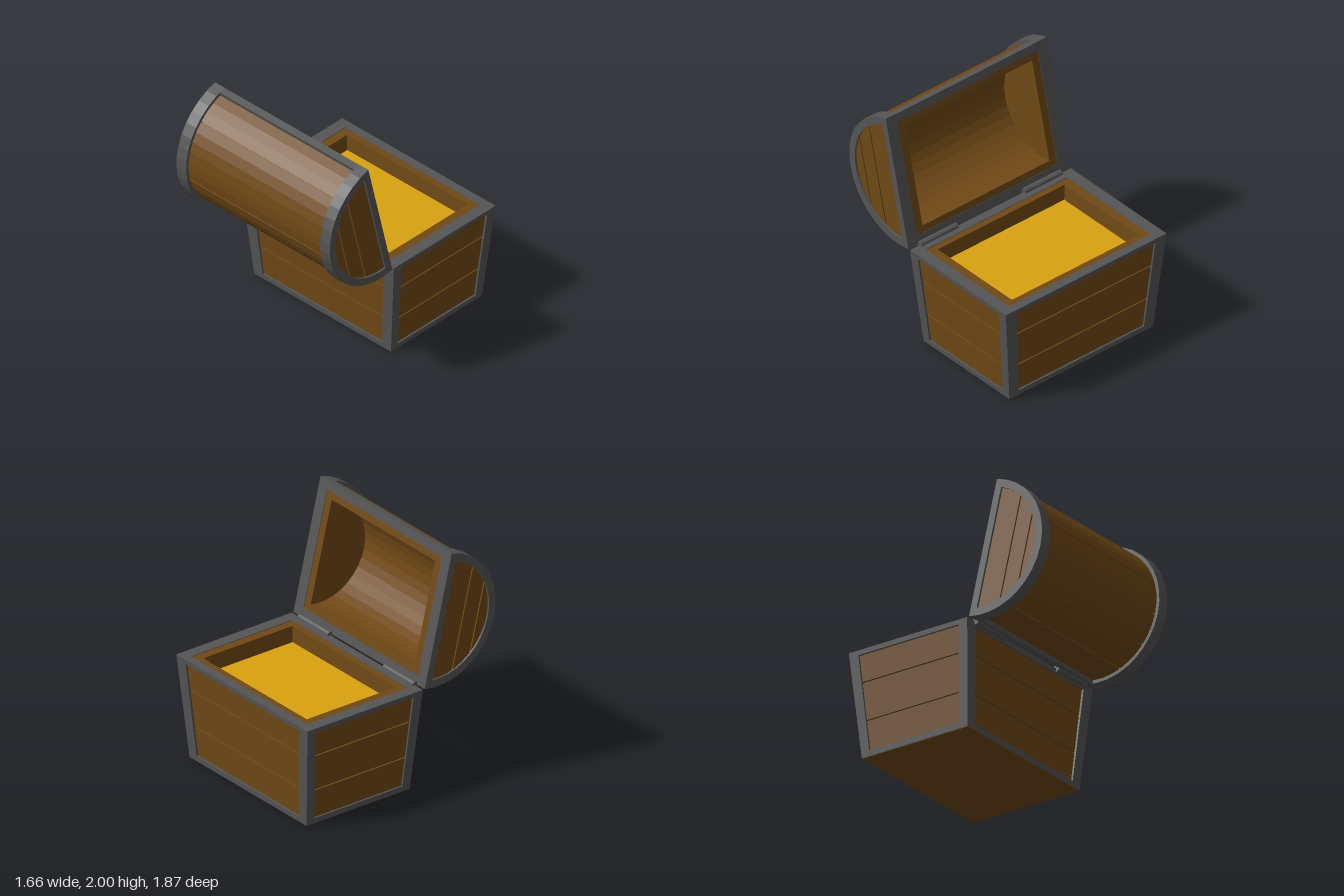
import * as THREE from 'three';

const mat = (color) => new THREE.MeshStandardMaterial({ color, flatShading: true });

export function createModel() {
  const wood = mat(0x704916);
  const iron = mat(0x555555);
  const gold = mat(0xd9a20f);
  const chest = new THREE.Group();
  chest.name = 'chest';

  const add = (parent, name, geometry, material) => {
    const mesh = new THREE.Mesh(geometry, material);
    mesh.name = name;
    parent.add(mesh);
    return mesh;
  };

  // ---------- Body: boxes given at rim size, narrowed towards the floor ----------
  const H = 0.89, HX = 0.83, HZ = 0.572, CZ = -0.359;
  const body = new THREE.Group();
  body.name = 'body';
  chest.add(body);

  const block = (name, material, x0, x1, y0, y1, z0, z1) => {
    const g = new THREE.BoxGeometry(x1 - x0, y1 - y0, z1 - z0);
    g.translate((x0 + x1) / 2, (y0 + y1) / 2, (z0 + z1) / 2);
    const p = g.attributes.position;
    for (let i = 0; i < p.count; i++) {
      const t = p.getY(i) / H;
      p.setX(i, p.getX(i) * (0.74 + 0.09 * t) / HX);
      p.setZ(i, CZ + p.getZ(i) * (0.511 + 0.061 * t) / HZ);
    }
    g.computeVertexNormals();
    return add(body, name, g, material);
  };

  // Floor and the treasure lying in it
  block('floor', wood, -0.826, 0.826, 0, 0.04, -0.568, 0.568);
  block('treasure', gold, -0.66, 0.66, 0.3, 0.75, -0.446, 0.446);

  const plankRows = [[0.04, 0.298], [0.31, 0.618], [0.63, 0.86]];
  for (const s of [-1, 1]) {
    const span = (a, b) => (s > 0 ? [a, b] : [-b, -a]);
    // Inner walls
    block('sideWall', wood, ...span(0.655, 0.795), 0.02, 0.885, -0.53, 0.53);
    block('endWall', wood, -0.7, 0.7, 0.02, 0.885, ...span(0.442, 0.537));
    // Planks with dark gaps between the rows
    for (const [y0, y1] of plankRows) {
      block('sidePlank', wood, ...span(0.78, 0.812), y0, y1, -0.5, 0.5);
      block('endPlank', wood, -0.74, 0.74, y0, y1, ...span(0.52, 0.554));
    }
    // Iron rails at the rim and foot
    block('sideRimRail', iron, ...span(0.73, HX), 0.85, H, -HZ, HZ);
    block('endRimRail', iron, -0.73, 0.73, 0.85, H, ...span(0.497, HZ));
    block('sideFootRail', iron, ...span(0.79, HX), 0.004, 0.05, -HZ, HZ);
    block('endFootRail', iron, -0.79, 0.79, 0.004, 0.05, ...span(0.53, HZ));
    // Corner posts
    for (const e of [-1, 1]) {
      const z = e > 0 ? [0.485, HZ] : [-HZ, -0.485];
      block('cornerPost', iron, ...span(0.72, HX), 0.05, 0.85, ...z);
    }
  }

  // ---------- Lid: drawn as a half round (x outwards, y across), extruded along its length ----------
  const lid = new THREE.Group();
  lid.name = 'lid';
  lid.position.set(0, 1.445, 0.365);
  lid.rotation.set(THREE.MathUtils.degToRad(13.65), -Math.PI / 2, 0);
  chest.add(lid);

  const R = 0.571;
  const arc = (r, a0, a1, n) => Array.from({ length: n + 1 }, (_, i) => {
    const a = a0 + (a1 - a0) * i / n;
    return new THREE.Vector2(r * Math.cos(a), r * Math.sin(a));
  });
  const sector = (r0, r1, a0, a1, n) =>
    new THREE.Shape([...arc(r1, a0, a1, n), ...arc(r0, a1, a0, n)]);
  // Slice of a disc between two parallel chords
  const slice = (r, n0, n1) => {
    const a0 = Math.acos(Math.min(1, n1 / r)), a1 = Math.acos(n0 / r);
    if (a0 === 0) return arc(r, -a1, a1, 18);
    return [...arc(r, a0, a1, 8), ...arc(r, -a1, -a0, 8)];
  };
  const extrude = (name, shape, material, z0, z1) => {
    const g = new THREE.ExtrudeGeometry(shape, { depth: z1 - z0, bevelEnabled: false });
    g.translate(0, 0, z0);
    return add(lid, name, g, material);
  };

  // Curved shell and its planks
  const q = Math.PI / 2 - 0.006;
  extrude('lidShell', sector(0.44, 0.53, -q, q, 18), wood, -0.73, 0.73);
  const step = THREE.MathUtils.degToRad(28);
  for (let i = -3; i < 3; i++) {
    extrude('lidPlank', sector(0.52, 0.543, i * step + 0.01, (i + 1) * step - 0.01, 3), wood, -0.725, 0.725);
  }

  for (const s of [-1, 1]) {
    const span = (a, b) => (s > 0 ? [a, b] : [-b, -a]);
    // End wall and its planks
    extrude('lidEnd', new THREE.Shape(slice(0.525, 0.004, 1)), wood, ...span(0.655, 0.795));
    for (const [n0, n1] of [[0.04, 0.255], [0.267, 0.405], [0.417, 1]]) {
      extrude('lidEndPlank', new THREE.Shape(slice(0.52, n0, n1)), wood, ...span(0.78, 0.812));
    }
    // Iron hoop round the end
    const hoop = new THREE.Shape(slice(R, 0, 1));
    hoop.holes.push(new THREE.Path(slice(0.505, 0.06, 1)));
    extrude('lidHoop', hoop, iron, ...span(0.725, HX));
    // Long rail along the lid's edge
    const rail = add(lid, 'lidRail', new THREE.BoxGeometry(0.06, 0.071, 1.46), iron);
    rail.position.set(0.03, s * 0.533, 0);

    // Hinge barrel
    const hinge = add(chest, 'hinge', new THREE.CylinderGeometry(0.03, 0.03, 0.385, 10), iron);
    hinge.rotation.z = Math.PI / 2;
    hinge.position.set(s * 0.5375, 0.89, 0.218);
  }

  return chest;
}
